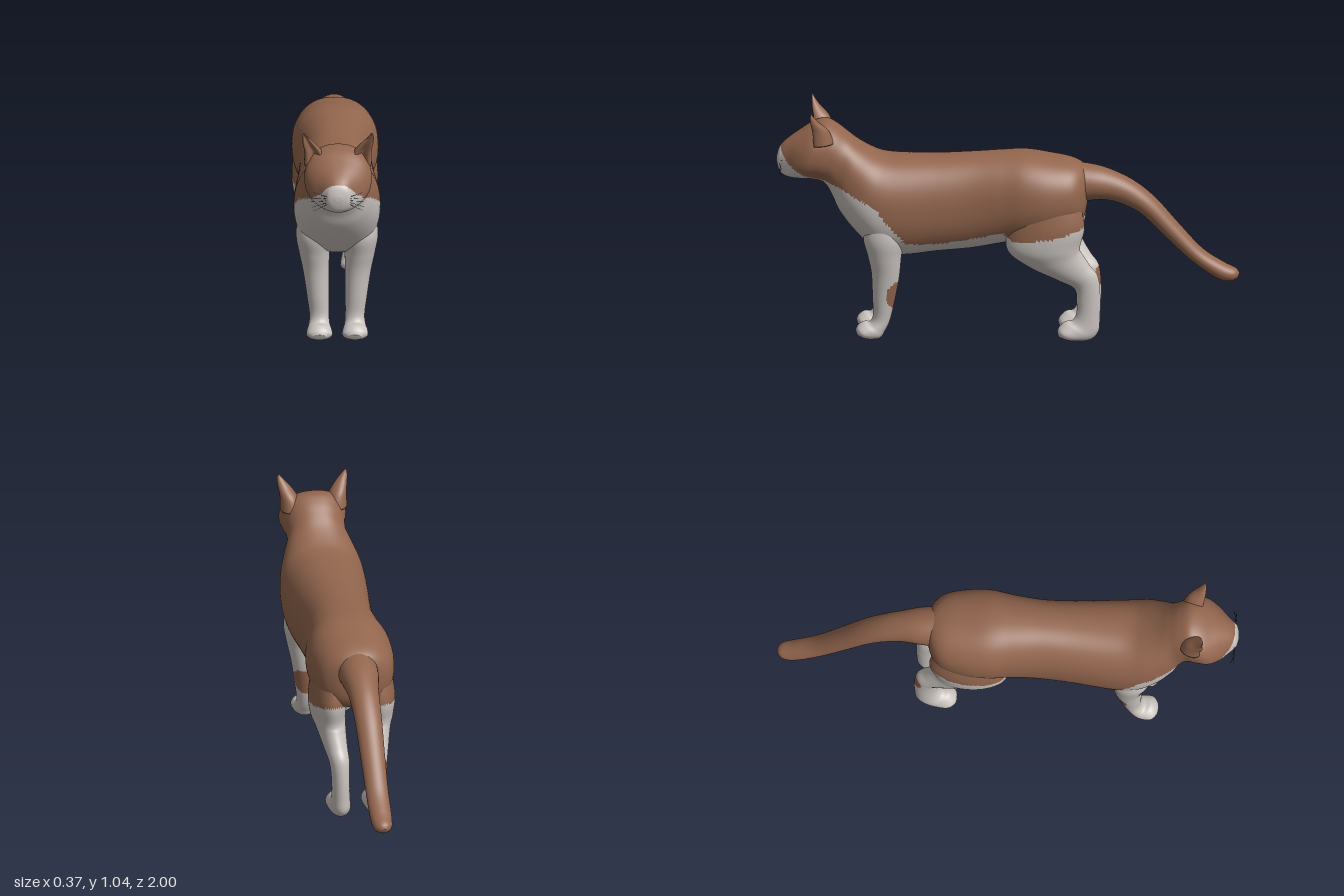
import * as THREE from 'three';

const ginger = new THREE.MeshStandardMaterial({ color: 0x93664e });
ginger.name = 'gingerFur';
const white = new THREE.MeshStandardMaterial({ color: 0xc9c3bf });
white.name = 'whiteFur';
const dark = new THREE.MeshStandardMaterial({ color: 0x2e2825 });
dark.name = 'whiskerDark';

// Height of the border between white and ginger fur, as [z, y] points
const border = [
  [-0.4, 0.53], [-0.34, 0.525], [-0.2, 0.485], [-0.02, 0.465], [0.02, 0.5], [0.1, 0.48],
  [0.2, 0.46], [0.3, 0.445], [0.43, 0.447], [0.49, 0.515], [0.57, 0.62], [0.705, 0.69],
  [0.77, 0.71], [0.86, 0.735], [0.91, 0.765], [0.955, 0.8], [0.985, 0.86], [1.01, 0.87],
];

function isWhite(x, y, z) {
  // ginger patches behind the front legs and on one hock
  if (Math.hypot((y - 0.205) / 0.065, (z - 0.465) / 0.055) < 1) return false;
  if (x < 0 && Math.hypot((y - 0.25) / 0.045, (z + 0.41) / 0.04) < 1) return false;
  if (z < border[0][0]) return y < border[0][1];
  for (let i = 1; i < border.length; i++) {
    const [z0, y0] = border[i - 1], [z1, y1] = border[i];
    if (z <= z1) return y < y0 + ((y1 - y0) * (z - z0)) / (z1 - z0);
  }
  return y < 0.87;
}

// Smooth curve through the numbers of neighbouring sections
function blend(sections, t) {
  const last = sections.length - 1;
  const i = Math.min(Math.floor(t), last - 1), f = t - i;
  const at = (k) => sections[Math.max(0, Math.min(last, k))];
  return sections[i].map((p1, k) => {
    const p0 = at(i - 1)[k], p2 = at(i + 1)[k], p3 = at(i + 2)[k];
    return p1 + 0.5 * f * (p2 - p0 + f * (2 * p0 - 5 * p1 + 4 * p2 - p3 + f * (3 * (p1 - p2) + p3 - p0)));
  });
}

// Skin over oval sections [z, y of one edge, z, y of the opposite edge, half width, centre x]
function loft(name, sections, { side = 1, power = 2, dent = 0, allGinger = false, segs = 56, steps = 8 } = {}) {
  const pos = [], lists = [[], []];
  const rings = (sections.length - 1) * steps + 1;
  for (let i = 0; i < rings; i++) {
    const [z0, y0, z1, y1, hw, cx] = blend(sections, i / steps);
    for (let j = 0; j < segs; j++) {
      const a = (j / segs) * Math.PI * 2;
      const c = Math.sign(Math.cos(a)) * Math.abs(Math.cos(a)) ** (2 / power);
      let s = Math.sign(Math.sin(a)) * Math.abs(Math.sin(a)) ** (2 / power);
      if (s < 0) s *= 1 - dent * (1 - Math.abs(c));
      pos.push(side * cx + hw * c, (y0 + y1) / 2 + ((y0 - y1) / 2) * s, (z0 + z1) / 2 + ((z0 - z1) / 2) * s);
    }
  }
  // end cap centres
  for (const k of [0, sections.length - 1]) {
    const [z0, y0, z1, y1, , cx] = sections[k];
    pos.push(side * cx, (y0 + y1) / 2, (z0 + z1) / 2);
  }
  const tri = (...v) => {
    const mid = [0, 1, 2].map((k) => (pos[v[0] * 3 + k] + pos[v[1] * 3 + k] + pos[v[2] * 3 + k]) / 3);
    lists[!allGinger && isWhite(...mid) ? 1 : 0].push(...v);
  };
  for (let j = 0; j < segs; j++) {
    const n = (j + 1) % segs, end = (rings - 1) * segs;
    for (let i = 0; i < rings - 1; i++) {
      const a = i * segs + j, b = i * segs + n;
      tri(a, b, a + segs);
      tri(b, b + segs, a + segs);
    }
    tri(rings * segs, n, j);
    tri(rings * segs + 1, end + j, end + n);
  }
  const geo = new THREE.BufferGeometry();
  geo.setAttribute('position', new THREE.Float32BufferAttribute(pos, 3));
  geo.setIndex([...lists[0], ...lists[1]]);
  geo.addGroup(0, lists[0].length, 0);
  geo.addGroup(lists[0].length, lists[1].length, 1);
  geo.computeVertexNormals();
  const mesh = new THREE.Mesh(geo, [ginger, white]);
  mesh.name = name;
  return mesh;
}

// Rump to nose: top edge, bottom edge, half width, centre
const bodySections = [
  [-0.352, 0.72, -0.345, 0.6, 0.03, 0], [-0.335, 0.765, -0.33, 0.54, 0.1, 0],
  [-0.28, 0.795, -0.29, 0.5, 0.155, 0], [-0.18, 0.815, -0.19, 0.46, 0.183, 0],
  [-0.08, 0.83, -0.08, 0.44, 0.186, 0], [0.02, 0.828, 0.02, 0.425, 0.17, 0],
  [0.15, 0.82, 0.15, 0.4, 0.16, 0], [0.3, 0.812, 0.3, 0.385, 0.168, 0],
  [0.45, 0.812, 0.46, 0.368, 0.183, 0], [0.53, 0.818, 0.57, 0.395, 0.187, 0],
  [0.58, 0.835, 0.66, 0.48, 0.178, 0], [0.64, 0.87, 0.725, 0.565, 0.153, 0],
  [0.69, 0.91, 0.755, 0.63, 0.13, 0], [0.735, 0.945, 0.79, 0.688, 0.129, 0],
  [0.78, 0.965, 0.84, 0.706, 0.142, 0], [0.83, 0.953, 0.89, 0.708, 0.143, 0],
  [0.885, 0.92, 0.93, 0.71, 0.117, 0], [0.935, 0.887, 0.96, 0.716, 0.08, 0],
  [0.968, 0.86, 0.98, 0.73, 0.056, 0], [0.986, 0.835, 0.99, 0.752, 0.042, 0],
  [0.996, 0.8, 0.996, 0.78, 0.014, 0],
];

// Tail tip to root
const tailSections = [
  [-1, 0.285, -0.99, 0.262, 0.014, 0], [-0.985, 0.307, -0.958, 0.25, 0.038, 0],
  [-0.93, 0.335, -0.9, 0.265, 0.047, 0], [-0.84, 0.395, -0.795, 0.34, 0.049, 0],
  [-0.74, 0.505, -0.685, 0.445, 0.053, 0], [-0.64, 0.62, -0.585, 0.545, 0.058, 0],
  [-0.55, 0.695, -0.52, 0.585, 0.062, 0], [-0.46, 0.742, -0.45, 0.61, 0.069, 0],
  [-0.38, 0.768, -0.38, 0.615, 0.082, 0], [-0.27, 0.785, -0.3, 0.6, 0.09, 0],
];

// Legs run downwards: front edge, back edge, half width, centre
const frontLegSections = [
  [0.6, 0.57, 0.46, 0.57, 0.07, 0.095], [0.62, 0.47, 0.445, 0.46, 0.077, 0.1],
  [0.6, 0.38, 0.455, 0.38, 0.066, 0.098], [0.585, 0.3, 0.465, 0.28, 0.056, 0.09],
  [0.58, 0.18, 0.485, 0.17, 0.047, 0.082], [0.578, 0.11, 0.505, 0.085, 0.042, 0.077],
  [0.592, 0.078, 0.525, 0.04, 0.046, 0.077], [0.62, 0.076, 0.548, 0.006, 0.054, 0.077],
  [0.643, 0.06, 0.6, 0.002, 0.054, 0.077], [0.653, 0.042, 0.64, 0.015, 0.028, 0.077],
];
const hindLegSections = [
  [-0.03, 0.63, -0.3, 0.66, 0.065, 0.1], [0, 0.5, -0.335, 0.53, 0.08, 0.105],
  [-0.005, 0.41, -0.315, 0.43, 0.075, 0.105], [-0.1, 0.335, -0.325, 0.395, 0.062, 0.098],
  [-0.22, 0.275, -0.358, 0.34, 0.05, 0.09], [-0.29, 0.235, -0.392, 0.29, 0.043, 0.083],
  [-0.3, 0.17, -0.402, 0.2, 0.039, 0.08], [-0.298, 0.12, -0.4, 0.1, 0.039, 0.079],
  [-0.28, 0.09, -0.393, 0.04, 0.043, 0.078], [-0.25, 0.083, -0.355, 0.004, 0.05, 0.078],
  [-0.225, 0.06, -0.28, 0.001, 0.052, 0.078], [-0.216, 0.042, -0.228, 0.014, 0.028, 0.078],
];

// Ears run upwards: back edge, front edge, half width, centre
const earSections = [
  [0.745, 0.89, 0.865, 0.88, 0.052, 0.094], [0.77, 0.95, 0.862, 0.94, 0.038, 0.107],
  [0.81, 0.99, 0.858, 0.985, 0.026, 0.126], [0.834, 1.02, 0.853, 1.018, 0.013, 0.141],
  [0.842, 1.037, 0.847, 1.037, 0.004, 0.146],
];

export function createModel() {
  const cat = new THREE.Group();
  cat.name = 'cat';
  cat.add(loft('bodyAndHead', bodySections, { power: 2.25, segs: 88 }));
  cat.add(loft('tail', tailSections, { allGinger: true, segs: 32 }));

  for (const side of [1, -1]) {
    const label = side > 0 ? 'left' : 'right';
    cat.add(loft(label + 'FrontLeg', frontLegSections, { side }));
    cat.add(loft(label + 'HindLeg', hindLegSections, { side }));
    cat.add(loft(label + 'Ear', earSections, { side, dent: 1.15, allGinger: true, segs: 32 }));

    // low eyelid bulge
    const eye = new THREE.Mesh(new THREE.SphereGeometry(1, 20, 14), ginger);
    eye.name = label + 'Eyelid';
    eye.scale.set(0.021, 0.011, 0.012);
    eye.position.set(side * 0.056, 0.86, 0.927);
    eye.rotation.set(0, side * 0.6, side * 0.2);
    cat.add(eye);

    // fan of fine whiskers
    for (let i = 0; i < 5; i++) {
      const y = 0.763 + i * 0.007;
      const curve = new THREE.QuadraticBezierCurve3(
        new THREE.Vector3(side * 0.04, y, 0.975),
        new THREE.Vector3(side * 0.08, y + (i - 2) * 0.008, 0.985),
        new THREE.Vector3(side * (0.118 - Math.abs(i - 2) * 0.006), y + (i - 2.6) * 0.014, 0.965 + (i % 2) * 0.012));
      const whisker = new THREE.Mesh(new THREE.TubeGeometry(curve, 8, 0.0007, 4), dark);
      whisker.name = label + 'Whisker';
      cat.add(whisker);
    }
  }
  return cat;
}
